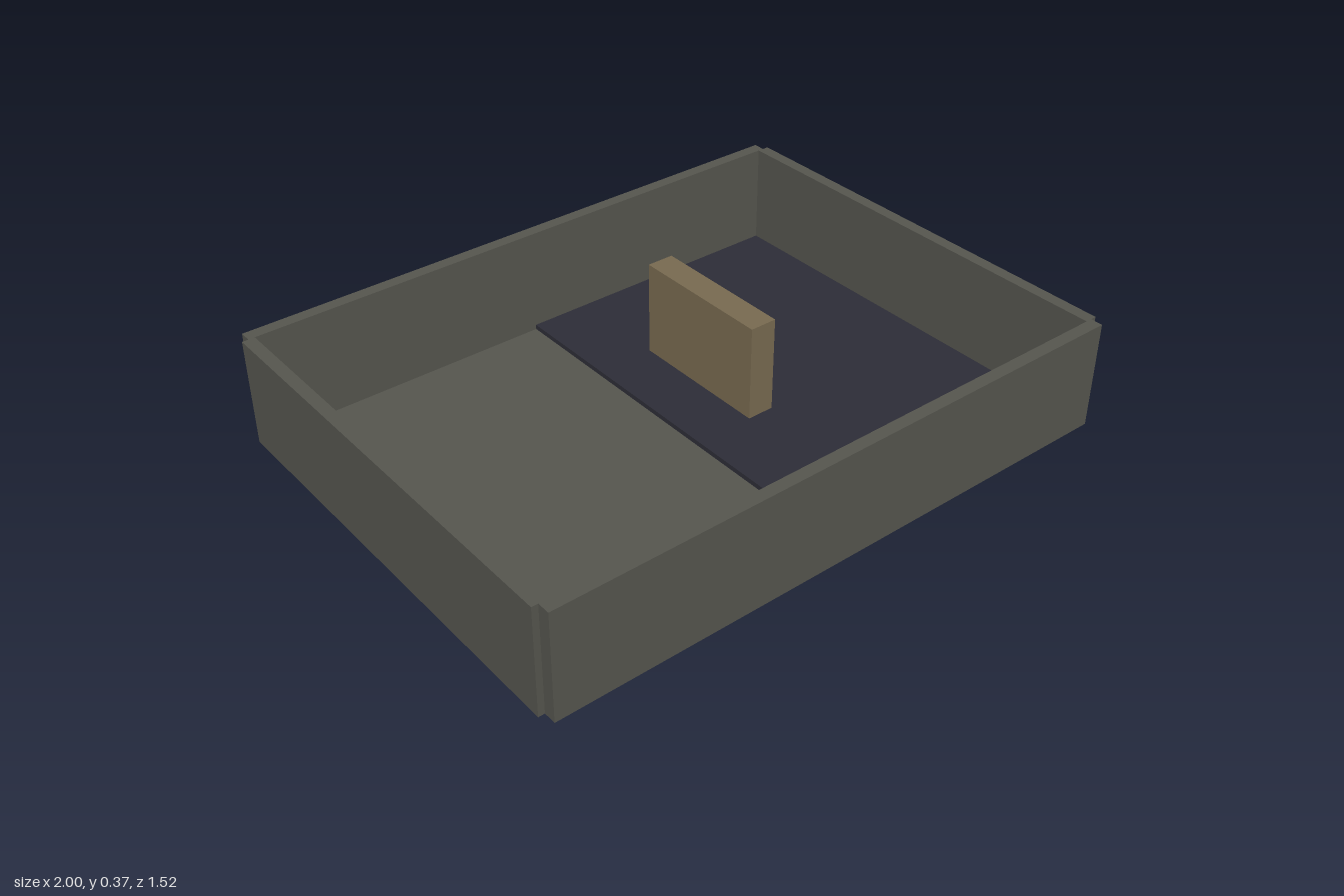
import * as THREE from 'three';

export function createModel() {
  const model = new THREE.Group();
  const paint = (name, color) => {
    const m = new THREE.MeshStandardMaterial({ color });
    m.name = name;
    return m;
  };
  const grey = paint('warm grey', 0x55554e);
  const navy = paint('dark slate', 0x2d2d37);
  const tan = paint('tan', 0x786a50);

  // Axis-aligned box given by its minimum and maximum corners
  const slab = (name, material, min, max) => {
    const size = max.map((v, i) => v - min[i]);
    const mesh = new THREE.Mesh(new THREE.BoxGeometry(...size), material);
    mesh.position.set(...max.map((v, i) => (v + min[i]) / 2));
    mesh.name = name;
    model.add(mesh);
  };

  const W = 0.96, D = 0.72, T = 0.04; // inner half width, half depth, wall thickness
  const base = 0.018, top = 0.37;

  // Floor, with a raised dark panel over its left half
  slab('floor', grey, [-W, 0, -D], [W, base, D]);
  slab('floorPanel', navy, [0, base, -D], [W, 0.034, D]);

  // Walls; the front and back ones overlap half of the side walls
  slab('leftWall', grey, [W, base, -D], [W + T, top, D]);
  slab('rightWall', grey, [-W - T, base, -D], [-W, top, D]);
  slab('frontWall', grey, [-W - T / 2, base, D], [W + T / 2, top, D + T]);
  slab('backWall', grey, [-W - T / 2, base, -D - T], [W + T / 2, top, -D]);

  // Upright divider standing on the panel
  slab('divider', tan, [0.195, 0.034, -0.365], [0.285, 0.35, 0.12]);

  return model;
}
